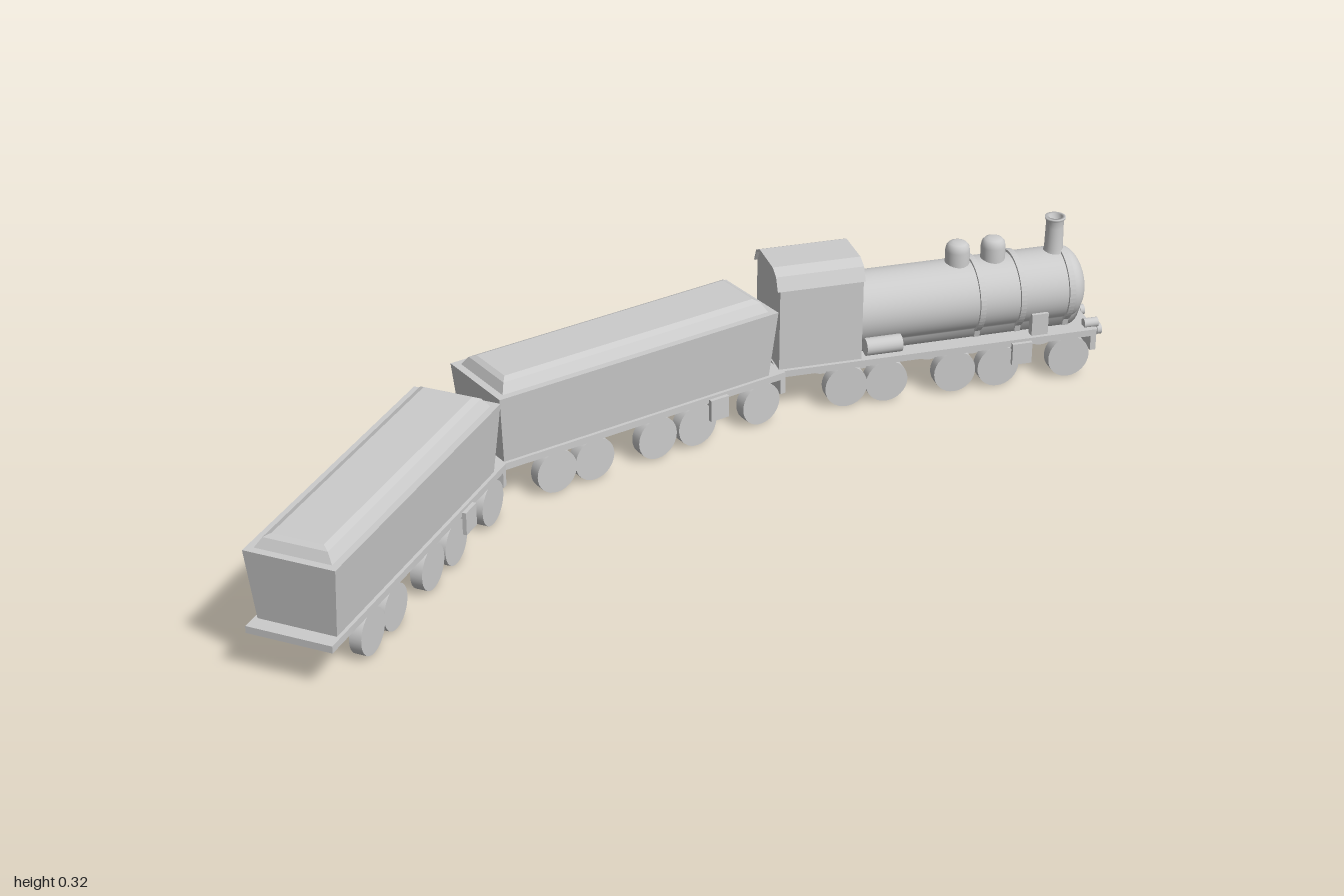
import * as THREE from 'three';

const grey = new THREE.MeshStandardMaterial({ color: 0xcccccc });

function add(parent, name, geometry, x = 0, y = 0, z = 0) {
  const mesh = new THREE.Mesh(geometry, grey);
  mesh.name = name;
  mesh.position.set(x, y, z);
  parent.add(mesh);
  return mesh;
}

const box = (l, h, w) => new THREE.BoxGeometry(l, h, w);
const cylinderX = (r, l) => new THREE.CylinderGeometry(r, r, l, 24).rotateZ(Math.PI / 2);
const lathe = (pts) => new THREE.LatheGeometry(pts.map(([r, y]) => new THREE.Vector2(r, y)), 28);

// Box standing on y = 0 whose top has its own length and width
function taperedBox(l0, w0, l1, w1, h) {
  const g = box(1, h, 1).translate(0, h / 2, 0);
  const p = g.attributes.position;
  for (let i = 0; i < p.count; i++) {
    const top = p.getY(i) > h / 2;
    p.setX(i, p.getX(i) * (top ? l1 : l0));
    p.setZ(i, p.getZ(i) * (top ? w1 : w0));
  }
  g.computeVertexNormals();
  return g;
}

// Extrudes a cross-section of [across, up] points along x from x0 to x1
function extrudeX(points, x0, x1) {
  const shape = new THREE.Shape(points.map(([a, b]) => new THREE.Vector2(a, b)));
  const g = new THREE.ExtrudeGeometry(shape, { depth: x1 - x0, bevelEnabled: false });
  return g.rotateY(Math.PI / 2).translate(x0, 0, 0);
}

// Round barrel section with a narrow foot, as [across, up]
function barrelSection(r) {
  const pts = [[r * 0.6, 0.098]];
  for (let i = 0; i <= 40; i++) {
    const a = THREE.MathUtils.degToRad(-50 + i * 7);
    pts.push([r * Math.cos(a), 0.174 + r * Math.sin(a)]);
  }
  pts.push([-r * 0.6, 0.098]);
  return pts;
}

// Barrel lofted along x, closing in a bulged front
function boilerGeometry() {
  const section = barrelSection(0.075);
  const stations = [[-0.17, 1], [0.285, 1], [0.292, 1]];
  for (let i = 1; i <= 10; i++) {
    const a = (i / 10) * Math.PI / 2;
    stations.push([0.292 + 0.042 * Math.sin(a), Math.max(Math.cos(a), 0.001)]);
  }
  const pos = [], idx = [], n = section.length;
  for (const [x, k] of stations)
    for (const [a, b] of section) pos.push(x, 0.168 + (b - 0.168) * k, a * k);
  for (let j = 0; j < stations.length - 1; j++)
    for (let i = 0; i < n; i++) {
      const a = j * n + i, b = j * n + (i + 1) % n;
      idx.push(a, a + n, b, b, a + n, b + n);
    }
  const g = new THREE.BufferGeometry();
  g.setAttribute('position', new THREE.Float32BufferAttribute(pos, 3));
  g.setIndex(idx);
  g.computeVertexNormals();
  return g;
}

// Running gear shared by every vehicle; it runs along local x
function chassis() {
  const g = new THREE.Group();
  g.name = 'chassis';
  add(g, 'framePlate', box(0.67, 0.014, 0.168), 0, 0.091, 0);
  add(g, 'bufferBeam', box(0.012, 0.046, 0.168), 0.335, 0.075, 0);
  for (const side of [-1, 1]) {
    for (const x of [-0.193, -0.108, 0.037, 0.13, 0.283])
      add(g, 'wheel', new THREE.CylinderGeometry(0.044, 0.044, 0.024, 32).rotateX(Math.PI / 2),
        x, 0.044, side * 0.072);
    add(g, 'step', box(0.042, 0.046, 0.014), 0.178, 0.069, side * 0.085);
    add(g, 'buffer', cylinderX(0.008, 0.02), 0.347, 0.078, side * 0.045);
    add(g, 'bufferHead', cylinderX(0.011, 0.01), 0.361, 0.078, side * 0.045);
  }
  return g;
}

function wagon() {
  const g = new THREE.Group();
  g.name = 'wagon';
  g.add(chassis());
  add(g, 'wagonBody', taperedBox(0.61, 0.154, 0.635, 0.178, 0.14), 0, 0.098, 0);
  add(g, 'loadEdge', taperedBox(0.605, 0.15, 0.585, 0.125, 0.018), 0, 0.238, 0);
  add(g, 'loadTop', taperedBox(0.585, 0.125, 0.565, 0.1, 0.006), 0, 0.256, 0);
  return g;
}

function locomotive() {
  const g = new THREE.Group();
  g.name = 'locomotive';
  g.add(chassis());
  add(g, 'boiler', boilerGeometry());
  for (const x of [0.095, 0.182, 0.286])
    add(g, 'boilerBand', extrudeX(barrelSection(0.08), x - 0.006, x + 0.006));

  // Cab with a chamfered roof that overhangs slightly
  add(g, 'cab', extrudeX([[-0.076, 0.098], [0.076, 0.098], [0.076, 0.27], [0.064, 0.294],
    [0.042, 0.304], [-0.042, 0.304], [-0.064, 0.294], [-0.076, 0.27]], -0.332, -0.16));
  add(g, 'cabRoof', extrudeX([[0.079, 0.27], [0.066, 0.297], [0.043, 0.308], [-0.043, 0.308],
    [-0.066, 0.297], [-0.079, 0.27], [-0.075, 0.27], [-0.062, 0.293], [-0.041, 0.303],
    [0.041, 0.303], [0.062, 0.293], [0.075, 0.27]], -0.338, -0.157));

  // Chimney and domes
  add(g, 'chimney', lathe([[0.024, 0.235], [0.019, 0.255], [0.018, 0.3], [0.018, 0.315],
    [0.021, 0.318], [0.021, 0.322], [0.014, 0.322], [0.014, 0.3], [0, 0.3]]), 0.271, 0, 0);
  for (const x of [0.064, 0.14])
    add(g, 'dome', lathe([[0.026, 0.225], [0.025, 0.25], [0.025, 0.274], [0.023, 0.284],
      [0.018, 0.29], [0.01, 0.293], [0, 0.293]]), x, 0, 0);

  // Side fittings and front lamps
  for (const side of [-1, 1]) {
    add(g, 'sideTank', cylinderX(0.018, 0.075), -0.115, 0.122, side * 0.073);
    add(g, 'sandbox', box(0.035, 0.047, 0.016), 0.22, 0.121, side * 0.068);
    add(g, 'lamp', cylinderX(0.01, 0.03), 0.335, 0.104, side * 0.063);
  }
  return g;
}

export function createModel() {
  const train = new THREE.Group();
  train.name = 'train';
  const layout = [
    [locomotive(), 0.64, -0.078, -18.5],
    [wagon(), -0.035, -0.18, 0],
    [wagon(), -0.673, 0.02, 33],
  ];
  for (const [vehicle, x, z, turn] of layout) {
    vehicle.position.set(x, 0, z);
    vehicle.rotation.y = THREE.MathUtils.degToRad(turn);
    train.add(vehicle);
  }
  return train;
}
